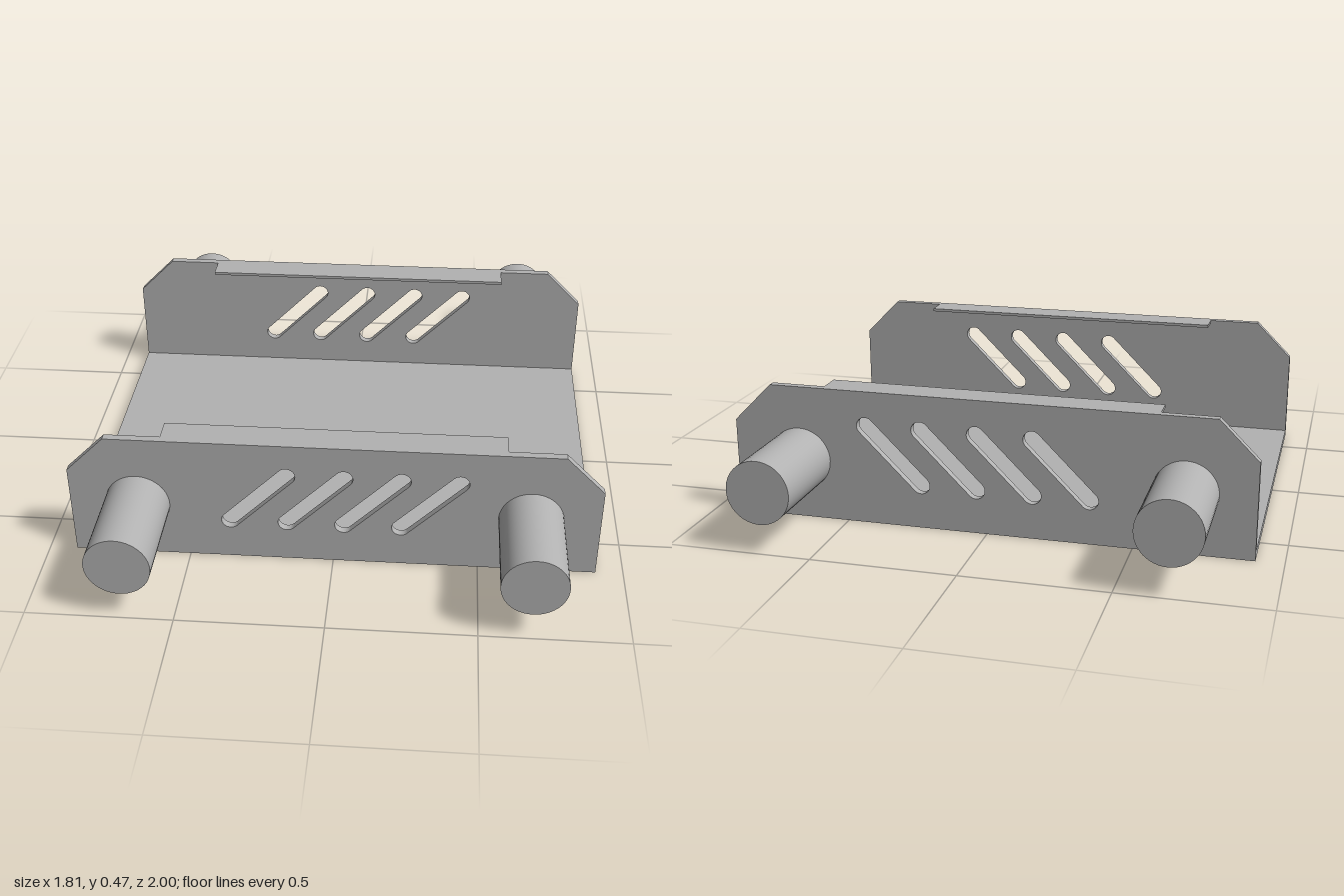
import * as THREE from 'three';

const HALF_W = 0.905, HEIGHT = 0.473, OUTER_Z = 0.655, WALL = 0.027;

// Capsule-shaped slot running up to the right at 45 degrees
function slotPath(x, y, rise, r) {
  const path = new THREE.Path();
  path.absarc(x + rise, y + rise, r, -Math.PI / 4, Math.PI * 3 / 4, false);
  path.absarc(x, y, r, Math.PI * 3 / 4, Math.PI * 7 / 4, false);
  path.closePath();
  return path;
}

// Side plate with clipped top corners and four slanted slots
function wallGeometry() {
  const clip = 0.135;
  const shape = new THREE.Shape([
    [-HALF_W, 0], [HALF_W, 0], [HALF_W, HEIGHT - clip], [HALF_W - clip, HEIGHT],
    [clip - HALF_W, HEIGHT], [-HALF_W, HEIGHT - clip],
  ].map(([x, y]) => new THREE.Vector2(x, y)));
  for (let i = 0; i < 4; i++) shape.holes.push(slotPath(-0.353 + i * 0.195, 0.155, 0.195, 0.031));
  return new THREE.ExtrudeGeometry(shape, { depth: WALL, bevelEnabled: false, curveSegments: 16 });
}

export function createModel() {
  const model = new THREE.Group();
  model.name = 'slottedTray';
  const metal = new THREE.MeshStandardMaterial({ color: 0xb2b2b2 });
  metal.name = 'plain grey metal';

  const add = (name, geometry, x, y, z) => {
    const mesh = new THREE.Mesh(geometry, metal);
    mesh.name = name;
    mesh.position.set(x, y, z);
    model.add(mesh);
    return mesh;
  };

  // Floor between the two walls
  add('floor', new THREE.BoxGeometry(HALF_W * 2, WALL, (OUTER_Z - WALL) * 2), 0, WALL / 2, 0);

  const wall = wallGeometry();
  const lipDepth = 0.545, lipThick = 0.011;
  const lip = new THREE.BoxGeometry(1.16, lipThick, OUTER_Z - WALL - lipDepth);
  const pegLength = 1 - OUTER_Z;
  const peg = new THREE.CylinderGeometry(0.11, 0.11, pegLength, 48).rotateX(Math.PI / 2);

  for (const [side, s] of [['front', 1], ['back', -1]]) {
    add(side + 'Wall', wall, 0, 0, s > 0 ? OUTER_Z - WALL : -OUTER_Z);
    // Thin lip folded inward along the top edge
    add(side + 'Lip', lip, 0, HEIGHT - lipThick / 2, s * (OUTER_Z - WALL + lipDepth) / 2);
    // Round pegs sticking out of the wall
    for (const [hand, t] of [['Left', 1], ['Right', -1]]) {
      add(side + hand + 'Peg', peg, t * 0.67, 0.214, s * (OUTER_Z + pegLength / 2));
    }
  }
  return model;
}
